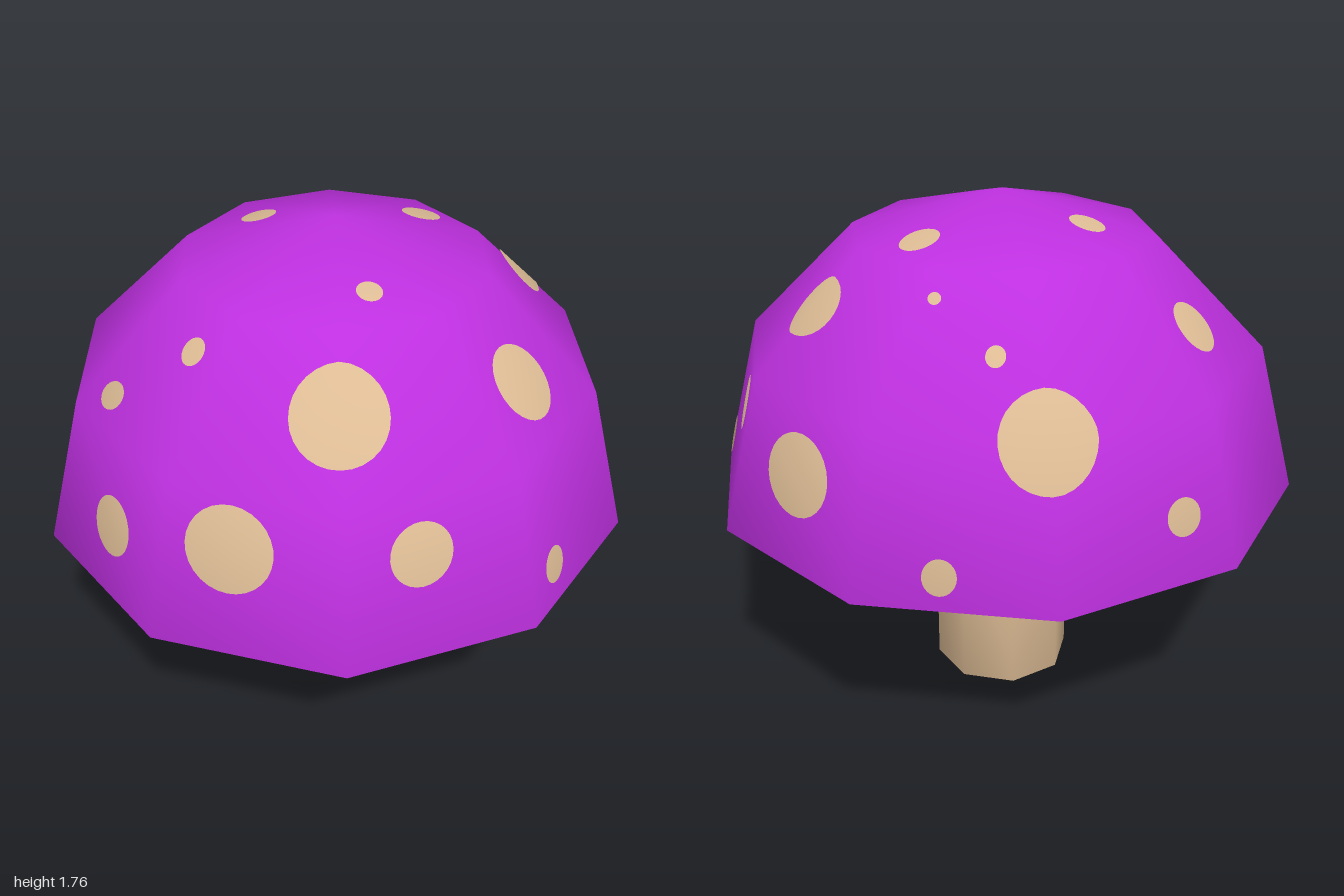
import * as THREE from 'three';
import { mergeVertices } from 'three/addons/utils/BufferGeometryUtils.js';

const CENTRE = new THREE.Vector3(0, 0.76, 0);
const SIDES = 10;
const DOME = [[1, 0.76], [0.866, 1.26], [0.5, 1.626], [0, 1.76]];

// Low-poly lathe with welded, smooth normals
function smoothLathe(points, sides) {
  const lathe = new THREE.LatheGeometry(points.map(([r, y]) => new THREE.Vector2(r, y)), sides);
  lathe.deleteAttribute('uv');
  lathe.deleteAttribute('normal');
  const geometry = mergeVertices(lathe, 1e-4);
  geometry.computeVertexNormals();
  return geometry;
}

// Outward planes of the dome facets
function domePlanes() {
  const planes = [];
  const apothem = Math.cos(Math.PI / SIDES);
  for (let band = 0; band < DOME.length - 1; band++) {
    const [r0, y0] = DOME[band];
    const [r1, y1] = DOME[band + 1];
    for (let k = 0; k < SIDES; k++) {
      const angle = (k + 0.5) * 2 * Math.PI / SIDES;
      const out = y1 - y0;
      const normal = new THREE.Vector3(
        Math.sin(angle) * out, (r0 - r1) * apothem, Math.cos(angle) * out).normalize();
      const point = new THREE.Vector3(
        Math.sin(angle) * r0 * apothem, y0 - CENTRE.y, Math.cos(angle) * r0 * apothem);
      planes.push({ normal, distance: normal.dot(point) });
    }
  }
  return planes;
}

// Thin oval patch wrapped over the dome facets
function spotGeometry([x, y, z, halfWidth, halfHeight], planes) {
  const geometry = new THREE.RingGeometry(0, 1, 28, 8);
  geometry.deleteAttribute('uv');
  const reach = (dir) => Math.min(...planes.map((p) => {
    const facing = p.normal.dot(dir);
    return facing > 0.01 ? p.distance / facing : Infinity;
  }));
  const dir = new THREE.Vector3(x, y, z).sub(CENTRE).normalize();
  const across = new THREE.Vector3(0, 1, 0).cross(dir).normalize();
  const up = dir.clone().cross(across);
  const middle = dir.clone().multiplyScalar(reach(dir));
  const position = geometry.attributes.position;
  const normal = geometry.attributes.normal;
  for (let i = 0; i < position.count; i++) {
    const ray = middle.clone()
      .addScaledVector(across, position.getX(i) * halfWidth)
      .addScaledVector(up, position.getY(i) * halfHeight)
      .normalize();
    const point = ray.clone().multiplyScalar(reach(ray) + 0.005).add(CENTRE);
    position.setXYZ(i, point.x, point.y, point.z);
    normal.setXYZ(i, ray.x, ray.y, ray.z);
  }
  return geometry;
}

// Spot centre x, y, z, then half width and half height
const SPOTS = [
  // front
  [-0.01, 1.45, 0.66, 0.15, 0.155],
  [-0.33, 1.09, 0.80, 0.135, 0.14],
  [0.22, 1.09, 0.84, 0.098, 0.103],
  [0.545, 1.40, 0.42, 0.115, 0.125],
  [0.65, 0.89, 0.66, 0.055, 0.06],
  [-0.70, 0.99, 0.55, 0.095, 0.097],
  [-0.69, 1.33, 0.34, 0.05, 0.045],
  [-0.43, 1.515, 0.40, 0.045, 0.045],
  [0.09, 1.66, 0.325, 0.04, 0.042],
  // +x side
  [0.62, 1.46, -0.20, 0.11, 0.11],
  [0.86, 1.13, -0.14, 0.08, 0.09],
  [0.71, 1.045, -0.52, 0.14, 0.128],
  [0.92, 0.87, 0.19, 0.065, 0.065],
  [0.29, 1.655, -0.21, 0.06, 0.068],
  // back and -x side
  [0.01, 1.24, -0.82, 0.15, 0.16],
  [-0.24, 1.68, -0.18, 0.056, 0.06],
  [0.13, 1.44, -0.65, 0.03, 0.035],
  [0.28, 1.56, -0.475, 0.02, 0.02],
  [-0.52, 1.41, -0.44, 0.09, 0.09],
  [-0.40, 0.96, -0.81, 0.058, 0.06],
  [0.33, 0.86, -0.865, 0.052, 0.055],
  [-0.89, 1.00, 0.02, 0.08, 0.09],
];

export function createModel() {
  const purple = new THREE.MeshStandardMaterial({ color: 0xbe30e0 });
  purple.name = 'purple';
  const tan = new THREE.MeshStandardMaterial({ color: 0xdcbb94 });
  tan.name = 'tan';

  const mushroom = new THREE.Group();
  mushroom.name = 'mushroom';

  // Cap: ten-sided dome with a bevelled rim and flat underside
  const cap = new THREE.Mesh(smoothLathe([[0, 0.71], [0.878, 0.71], ...DOME], SIDES), purple);
  cap.name = 'cap';
  mushroom.add(cap);

  // Stem: eight-sided post
  const stem = new THREE.Mesh(smoothLathe([[0, 0], [0.24, 0], [0.24, 0.72], [0, 0.72]], 8), tan);
  stem.name = 'stem';
  mushroom.add(stem);

  // Spots scattered over the cap
  const spots = new THREE.Group();
  spots.name = 'spots';
  const planes = domePlanes();
  for (const spec of SPOTS) {
    const spot = new THREE.Mesh(spotGeometry(spec, planes), tan);
    spot.name = 'spot';
    spots.add(spot);
  }
  mushroom.add(spots);
  return mushroom;
}
